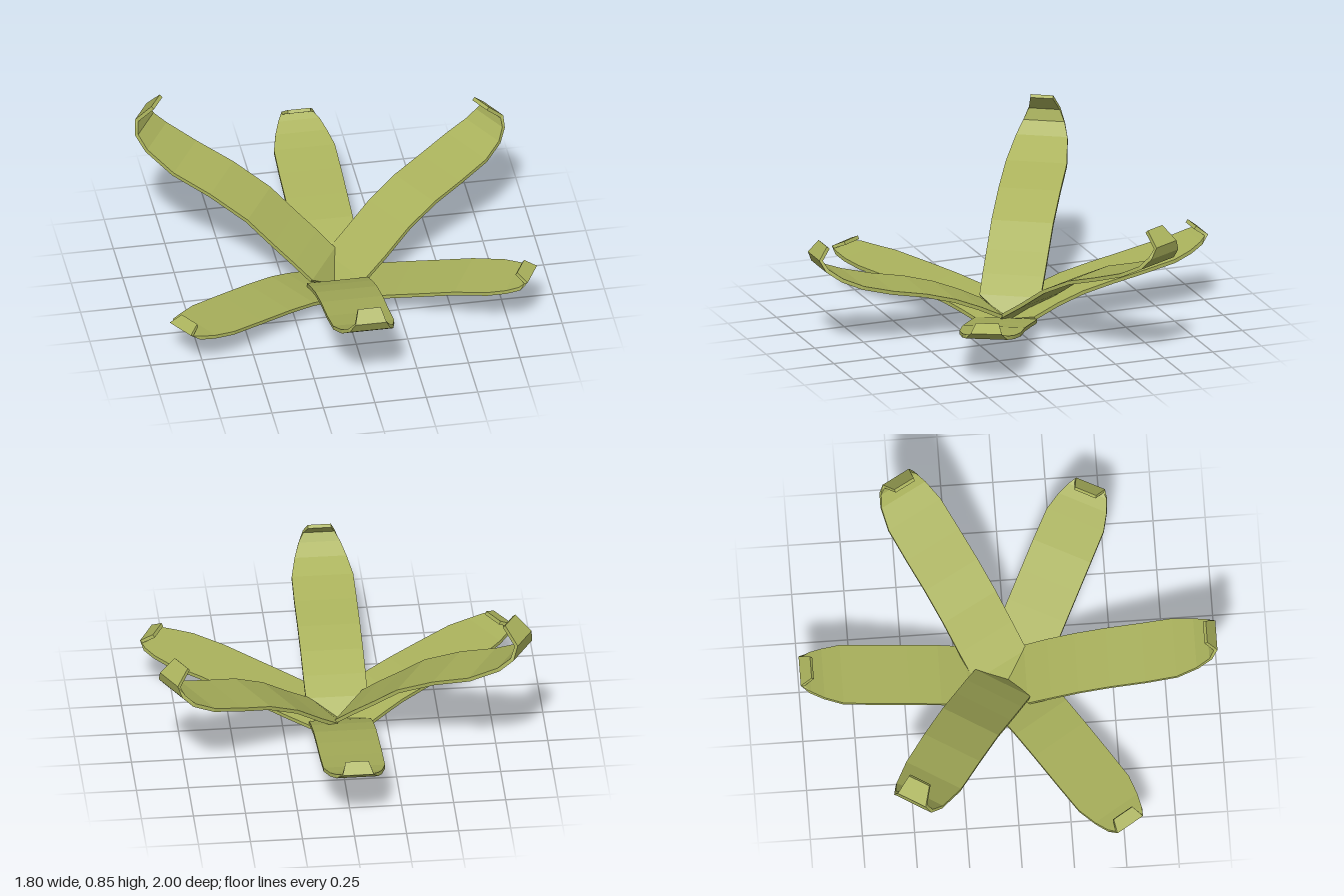
import * as THREE from 'three';

// Half width of a leaf at each station: wedge-shaped root, straight blade, narrowing tip
const HALF_WIDTHS = [0.012, 0.148, 0.15, 0.15, 0.15, 0.15, 0.148, 0.125, 0.1, 0.075, 0.055];
const THICKNESS = 0.018;

// Heading in degrees around y, and centre line as [distance from middle, height]
const LEAVES = [
  { name: 'frontLeaf', heading: 0, path: [[0, 0.02], [0.09, 0.09], [0.2, 0.145], [0.33, 0.2], [0.48, 0.245], [0.65, 0.28], [0.8, 0.322], [0.9, 0.365], [0.965, 0.412], [0.99, 0.46], [0.945, 0.515]] },
  { name: 'backLeaf', heading: 180, path: [[0, 0.02], [0.08, 0.062], [0.2, 0.118], [0.33, 0.163], [0.48, 0.197], [0.65, 0.23], [0.8, 0.262], [0.89, 0.29], [0.955, 0.32], [0.99, 0.348], [0.94, 0.386]] },
  { name: 'frontLeftLeaf', heading: 62.5, path: [[0, 0.012], [0.08, 0.045], [0.2, 0.075], [0.35, 0.115], [0.5, 0.153], [0.65, 0.192], [0.81, 0.22], [0.9, 0.235], [0.96, 0.25], [0.985, 0.272], [0.93, 0.304]] },
  { name: 'frontRightLeaf', heading: -58, path: [[0, 0.012], [0.08, 0.042], [0.17, 0.072], [0.27, 0.1], [0.42, 0.125], [0.6, 0.147], [0.78, 0.168], [0.88, 0.18], [0.95, 0.194], [0.985, 0.21], [0.93, 0.235]] },
  { name: 'backLeftLeaf', heading: 119, path: [[0, 0.02], [0.07, 0.085], [0.2, 0.17], [0.34, 0.27], [0.5, 0.35], [0.66, 0.4], [0.82, 0.455], [0.92, 0.507], [0.965, 0.56], [0.975, 0.605], [0.905, 0.67]] },
  { name: 'backRightLeaf', heading: -121.7, path: [[0, 0.02], [0.06, 0.115], [0.15, 0.19], [0.26, 0.275], [0.39, 0.38], [0.58, 0.48], [0.77, 0.555], [0.915, 0.64], [0.975, 0.7], [0.985, 0.765], [0.91, 0.845]] },
];

// A thin slab swept along the centre line, with four corners per station
function leafGeometry(path) {
  const positions = [];
  const index = [];
  path.forEach(([r, y], i) => {
    const a = path[Math.max(i - 1, 0)];
    const b = path[Math.min(i + 1, path.length - 1)];
    const normal = new THREE.Vector2(a[1] - b[1], b[0] - a[0]).setLength(THICKNESS / 2);
    const w = HALF_WIDTHS[i];
    for (const [side, up] of [[-1, 1], [1, 1], [1, -1], [-1, -1]]) {
      positions.push(side * w, y + up * normal.y, r + up * normal.x);
    }
    if (i === 0) return;
    const p = (i - 1) * 4;
    const q = i * 4;
    for (let j = 0; j < 4; j++) {
      const k = (j + 1) % 4;
      index.push(p + j, q + j, q + k, p + j, q + k, p + k);
    }
  });
  // Root and tip caps
  const e = (path.length - 1) * 4;
  index.push(0, 1, 2, 0, 2, 3, e, e + 3, e + 2, e, e + 2, e + 1);

  const geometry = new THREE.BufferGeometry();
  geometry.setAttribute('position', new THREE.Float32BufferAttribute(positions, 3));
  geometry.setIndex(index);
  geometry.computeVertexNormals();
  return geometry;
}

export function createModel() {
  const group = new THREE.Group();
  group.name = 'leafRosette';
  const material = new THREE.MeshStandardMaterial({ color: 0xaab25c, flatShading: true });
  for (const { name, heading, path } of LEAVES) {
    const leaf = new THREE.Mesh(leafGeometry(path), material);
    leaf.name = name;
    leaf.rotation.y = THREE.MathUtils.degToRad(heading);
    leaf.position.x = -0.018;
    group.add(leaf);
  }
  return group;
}
